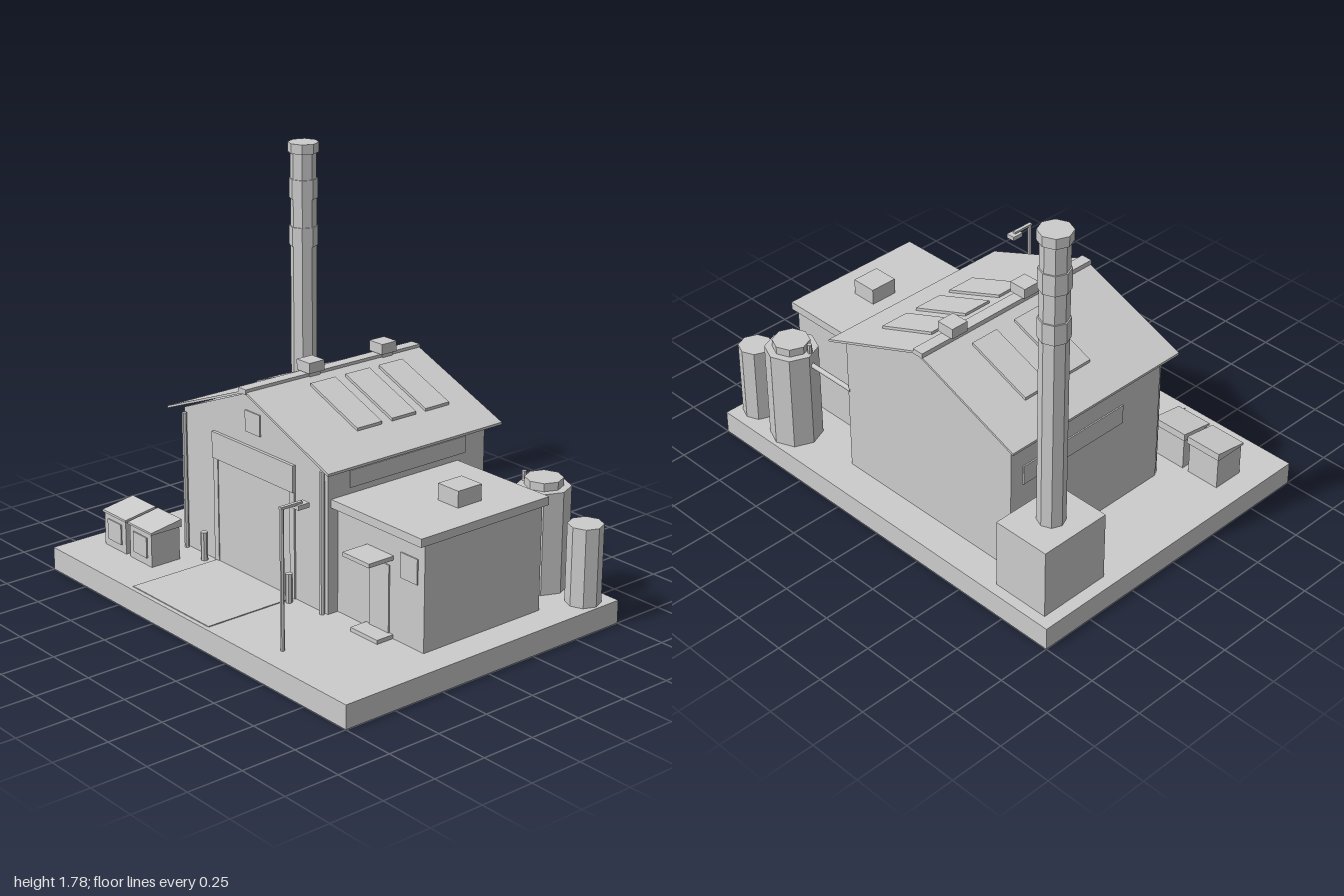
import * as THREE from 'three';

export function createModel() {
  const root = new THREE.Group();
  const grey = new THREE.MeshStandardMaterial({ color: 0xcccccc });
  grey.name = 'plain grey';

  const add = (name, geo, parent = root) => {
    const m = new THREE.Mesh(geo, grey);
    m.name = name;
    parent.add(m);
    return m;
  };
  const group = (name) => {
    const g = new THREE.Group();
    g.name = name;
    root.add(g);
    return g;
  };
  // Box given by its limits on each axis
  const box = (name, x0, x1, y0, y1, z0, z1, parent) =>
    add(name, new THREE.BoxGeometry(x1 - x0, y1 - y0, z1 - z0)
      .translate((x0 + x1) / 2, (y0 + y1) / 2, (z0 + z1) / 2), parent);
  // Upright faceted cylinder
  const post = (name, x, z, r, y0, y1, parent, sides = 8) =>
    add(name, new THREE.CylinderGeometry(r, r, y1 - y0, sides)
      .toNonIndexed().translate(x, (y0 + y1) / 2, z), parent).geometry.computeVertexNormals();
  const extrude = (pts, depth) => new THREE.ExtrudeGeometry(
    new THREE.Shape(pts.map(([a, b]) => new THREE.Vector2(a, b))), { depth, bevelEnabled: false });
  // [z, y] outline swept from x0 to x1
  const prism = (name, pts, x0, x1, parent) =>
    add(name, extrude(pts, x1 - x0).rotateY(-Math.PI / 2).translate(x1, 0, 0), parent);

  const G = 0.105;   // ground level
  const C = -0.158;  // ridge position in z
  const roofY = (r) => 0.968 - 0.391 * r;

  box('basePad', -0.75, 0.75, 0, G, -1, 1);
  box('driveway', -0.73, -0.275, G, G + 0.004, -0.42, 0.11);

  // Main hall
  const hall = group('mainHall');
  prism('hallWalls', [[-0.645, G], [0.329, G], [0.329, 0.754], [C, 0.952], [-0.645, 0.754]], -0.277, 0.597, hall);
  const e = 0.545, t = 0.011;
  prism('hallRoof', [[C + e, roofY(e)], [C, roofY(0)], [C - e, roofY(e)],
    [C - e, roofY(e) - t], [C, roofY(0) - t], [C + e, roofY(e) - t]], -0.325, 0.643, hall);
  box('ridgeCap', -0.328, 0.646, 0.952, 0.975, -0.194, -0.141, hall);
  for (const x of [0.042, 0.451]) {
    box('ventNeck', x - 0.03, x + 0.03, 0.95, 0.98, -0.192, -0.136, hall);
    box('ventHood', x - 0.042, x + 0.042, 0.978, 1.025, -0.208, -0.124, hall);
  }

  // Roof lights, laid along each slope
  const skylight = (x, s, r0, r1) => prism('skylight', [[C + s * r0, roofY(r0)], [C + s * r1, roofY(r1)],
    [C + s * r1, roofY(r1) + 0.013], [C + s * r0, roofY(r0) + 0.013]], x - 0.068, x + 0.068, hall);
  for (const x of [0.044, 0.236, 0.425]) skylight(x, 1, 0.072, 0.374);
  for (const x of [0.115, 0.352]) skylight(x, -1, 0.09, 0.39);

  // Window strips, loading door, gable vent
  box('frontWindowStrip', -0.16, 0.482, 0.64, 0.715, 0.329, 0.334, hall);
  box('backWindowStrip', -0.05, 0.53, 0.51, 0.6, -0.651, -0.645, hall);
  box('loadingDoor', -0.281, -0.277, G, 0.585, -0.4, 0.09, hall);
  box('doorHeader', -0.292, -0.277, 0.585, 0.705, -0.43, 0.12, hall);
  for (const z of [-0.415, 0.105]) box('doorJamb', -0.285, -0.277, G, 0.585, z - 0.015, z + 0.015, hall);
  box('gableVent', -0.283, -0.277, 0.765, 0.86, C - 0.05, C + 0.05, hall);
  for (const z of [-0.625, 0.31]) post('downpipe', -0.292, z, 0.011, G, 0.738, hall, 6);
  for (const z of [-0.46, 0.127]) post('bollard', -0.32, z, 0.016, G, 0.236);

  // Front annex
  const annex = group('annex');
  box('annexWalls', -0.224, 0.422, G, 0.578, 0.32, 0.858, annex);
  box('annexRoof', -0.26, 0.443, 0.576, 0.613, 0.329, 0.875, annex);
  box('roofUnit', 0.07, 0.2, 0.613, 0.686, 0.61, 0.73, annex);
  box('doorCanopy', -0.355, -0.224, 0.449, 0.467, 0.512, 0.674, annex);
  box('annexDoor', -0.23, -0.224, 0.123, 0.42, 0.535, 0.652, annex);
  box('doorStep', -0.31, -0.224, G, 0.123, 0.51, 0.675, annex);
  box('annexWindow', -0.23, -0.224, 0.39, 0.5, 0.72, 0.82, annex);

  // Chimney on its plinth
  const chimney = group('chimney');
  box('plinth', 0.36, 0.702, G, 0.428, -0.942, -0.67, chimney);
  box('flueDuct', 0.46, 0.59, 0.257, 0.342, -0.675, -0.64, chimney);
  post('shaft', 0.532, -0.808, 0.06, 0.428, 1.75, chimney);
  for (const y of [1.31, 1.53]) post('shaftBand', 0.532, -0.808, 0.066, y, y + 0.09, chimney);
  post('chimneyCap', 0.532, -0.808, 0.071, 1.74, 1.785, chimney);

  // Storage tanks with feed pipe
  const tanks = group('tanks');
  post('largeTank', 0.615, 0.676, 0.117, G, 0.562, tanks);
  post('largeTankLid', 0.615, 0.676, 0.083, 0.562, 0.598, tanks);
  post('smallTank', 0.628, 0.912, 0.077, G, 0.458, tanks);
  add('feedPipe', new THREE.CylinderGeometry(0.011, 0.011, 0.27, 8)
    .rotateX(Math.PI / 2).translate(0.59, 0.502, 0.455), tanks);
  post('pipeRiser', 0.59, 0.583, 0.011, 0.5, 0.605, tanks);

  // Waste bins with sloped lids
  for (const z of [-0.808, -0.616]) {
    const bin = group('wasteBin');
    box('binBody', -0.548, -0.398, G, 0.26, z - 0.08, z + 0.08, bin);
    add('binLid', extrude([[-0.553, 0.258], [-0.39, 0.258], [-0.39, 0.293], [-0.553, 0.268]], 0.176)
      .translate(0, 0, z - 0.088), bin);
    box('binHatch', -0.554, -0.548, 0.14, 0.235, z - 0.05, z + 0.05, bin);
  }

  // Yard lamp
  const lamp = group('yardLamp');
  post('lampPole', -0.635, 0.475, 0.009, G, 0.715, lamp, 6);
  box('lampArm', -0.644, -0.535, 0.712, 0.723, 0.467, 0.483, lamp);
  box('lampHead', -0.567, -0.51, 0.694, 0.714, 0.452, 0.495, lamp);

  return root;
}
